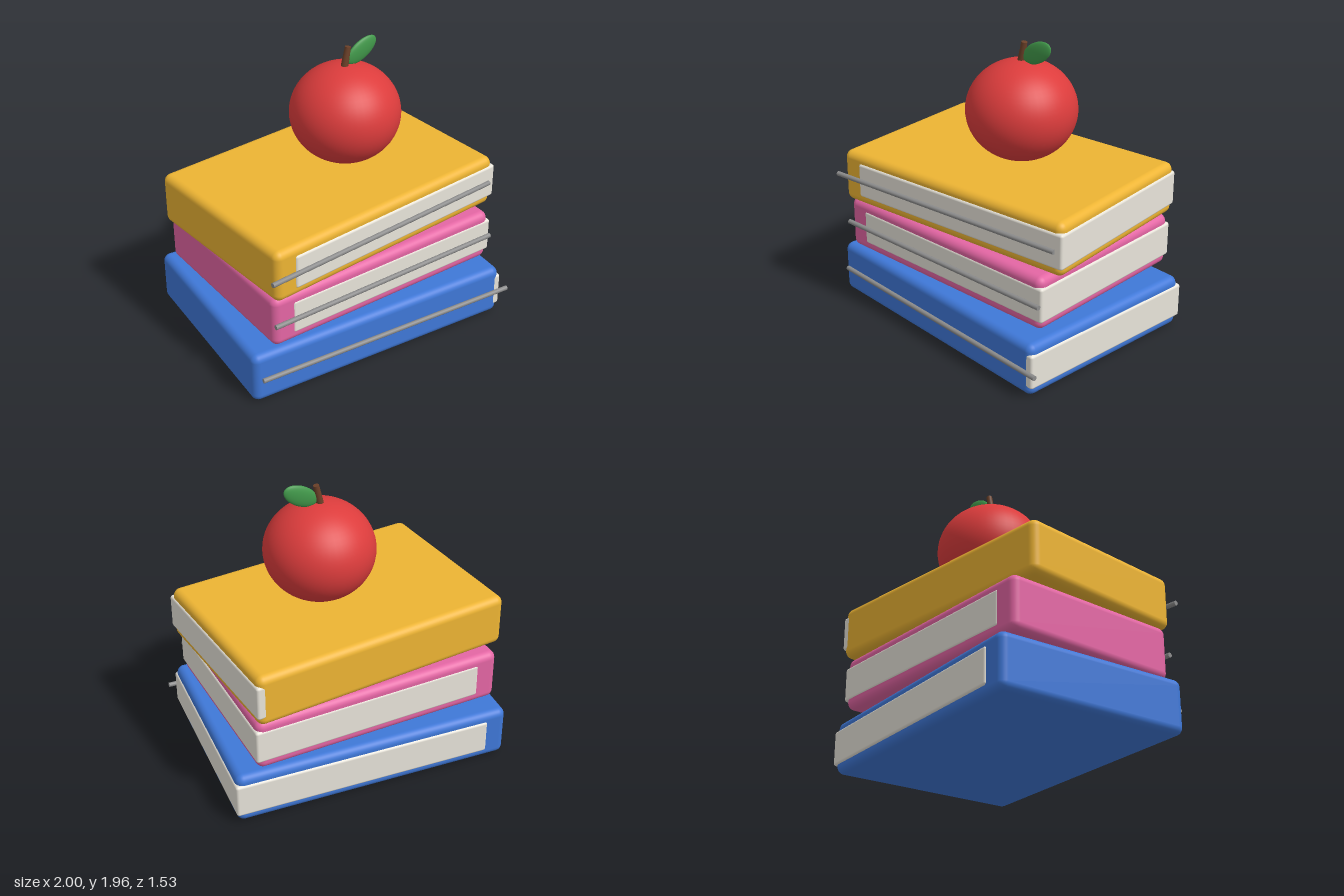
import * as THREE from 'three';
import { RoundedBoxGeometry } from 'three/addons/geometries/RoundedBoxGeometry.js';

const material = (color) => new THREE.MeshStandardMaterial({ color });
const CX = -0.008, CZ = -0.01; // centre of the stack

function part(parent, name, geometry, mat, x, y, z) {
  const mesh = new THREE.Mesh(geometry, mat);
  mesh.name = name;
  mesh.position.set(x, y, z);
  parent.add(mesh);
  return mesh;
}

export function createModel() {
  const model = new THREE.Group();
  model.name = 'appleOnBooks';
  const paper = material(0xe8e4da), metal = material(0x8c8c8c);

  // Books: cover, page block shifted toward +x, and a thin rod along the front
  const books = [
    { name: 'bottomBook', color: 0x3f78d8, w: 1.89, d: 1.345, y: 0.18, turn: -0.08 },
    { name: 'middleBook', color: 0xe466a4, w: 1.72, d: 1.256, y: 0.58, turn: 0 },
    { name: 'topBook', color: 0xedb433, w: 1.805, d: 1.214, y: 0.937, turn: 0.07 },
  ];
  const h = 0.356;
  for (const { name, color, w, d, y, turn } of books) {
    const book = new THREE.Group();
    book.name = name;
    book.position.set(CX, y, CZ);
    model.add(book);
    part(book, 'cover', new RoundedBoxGeometry(w, h, d, 4, 0.05), material(color), 0, 0, 0).rotation.y = turn;
    part(book, 'pages', new RoundedBoxGeometry(w - 0.132, 0.236, d + 0.009, 3, 0.018), paper, 0.076, 0, 0).rotation.y = turn;
    const rod = new THREE.CylinderGeometry(0.016, 0.016, w, 16).rotateZ(Math.PI / 2);
    part(book, 'spineRod', rod, metal, 0, 0, d / 2 + 0.018).rotation.y = turn;
  }

  // Apple: slightly flattened sphere
  const apple = new THREE.Group();
  apple.name = 'apple';
  model.add(apple);
  const flesh = part(apple, 'fruit', new THREE.SphereGeometry(0.361, 48, 32), material(0xdc3c3c), 0.117, 1.475, CZ);
  flesh.scale.y = 0.91;

  // Leaning stem
  const stem = new THREE.CylinderGeometry(0.019, 0.026, 0.17, 16);
  part(apple, 'stem', stem, material(0x6b4028), 0.12, 1.842, CZ).rotation.z = -0.2;

  // Leaf: thin tilted ellipsoid
  const leaf = part(apple, 'leaf', new THREE.SphereGeometry(1, 32, 20), material(0x41984a), 0.242, 1.875, CZ);
  leaf.scale.set(0.125, 0.066, 0.023);
  leaf.rotation.z = 0.5;

  return model;
}
